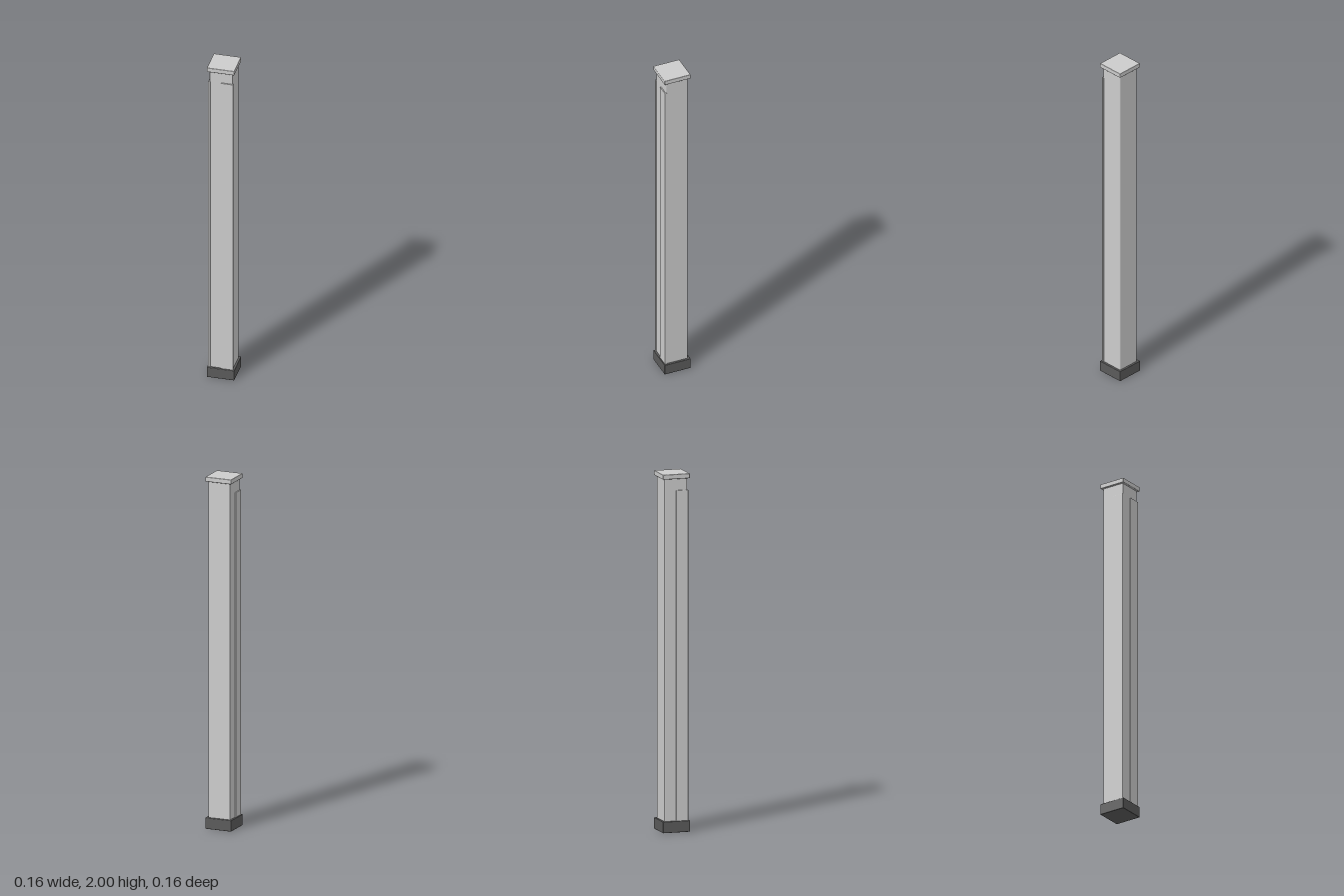
import * as THREE from 'three';
import { RoundedBoxGeometry } from 'three/addons/geometries/RoundedBoxGeometry.js';

const grey = new THREE.MeshStandardMaterial({ color: 0xcccccc });
const dark = new THREE.MeshStandardMaterial({ color: 0x5a5a5a });

// Softly bevelled box given by its minimum and maximum corners
function block(name, min, max, bevel, material) {
  const size = max.map((v, i) => v - min[i]);
  const mesh = new THREE.Mesh(new RoundedBoxGeometry(...size, 2, bevel), material);
  mesh.position.set(...min.map((v, i) => (v + max[i]) / 2));
  mesh.name = name;
  return mesh;
}

export function createModel() {
  const post = new THREE.Group();
  post.name = 'post';

  const outer = 0.078; // half width of base and cap
  const inner = 0.066; // half width of shaft
  const panel = 0.072; // outer face of the raised panels
  const panelBottom = 0.05, panelTop = 1.908;

  post.add(
    block('base', [-outer, 0, -outer], [outer, 0.063, outer], 0.003, dark),
    block('shaft', [-inner, 0.05, -inner], [inner, 1.98, inner], 0.005, grey),
    block('cap', [-outer, 1.973, -outer], [outer, 2, outer], 0.004, grey),
    // Raised half-width panels on the front and on the -x side
    block('frontPanel', [0, panelBottom, inner - 0.006], [0.07, panelTop, panel], 0.001, grey),
    block('sidePanel', [-panel, panelBottom, 0], [-inner + 0.006, panelTop, 0.07], 0.001, grey)
  );
  return post;
}
